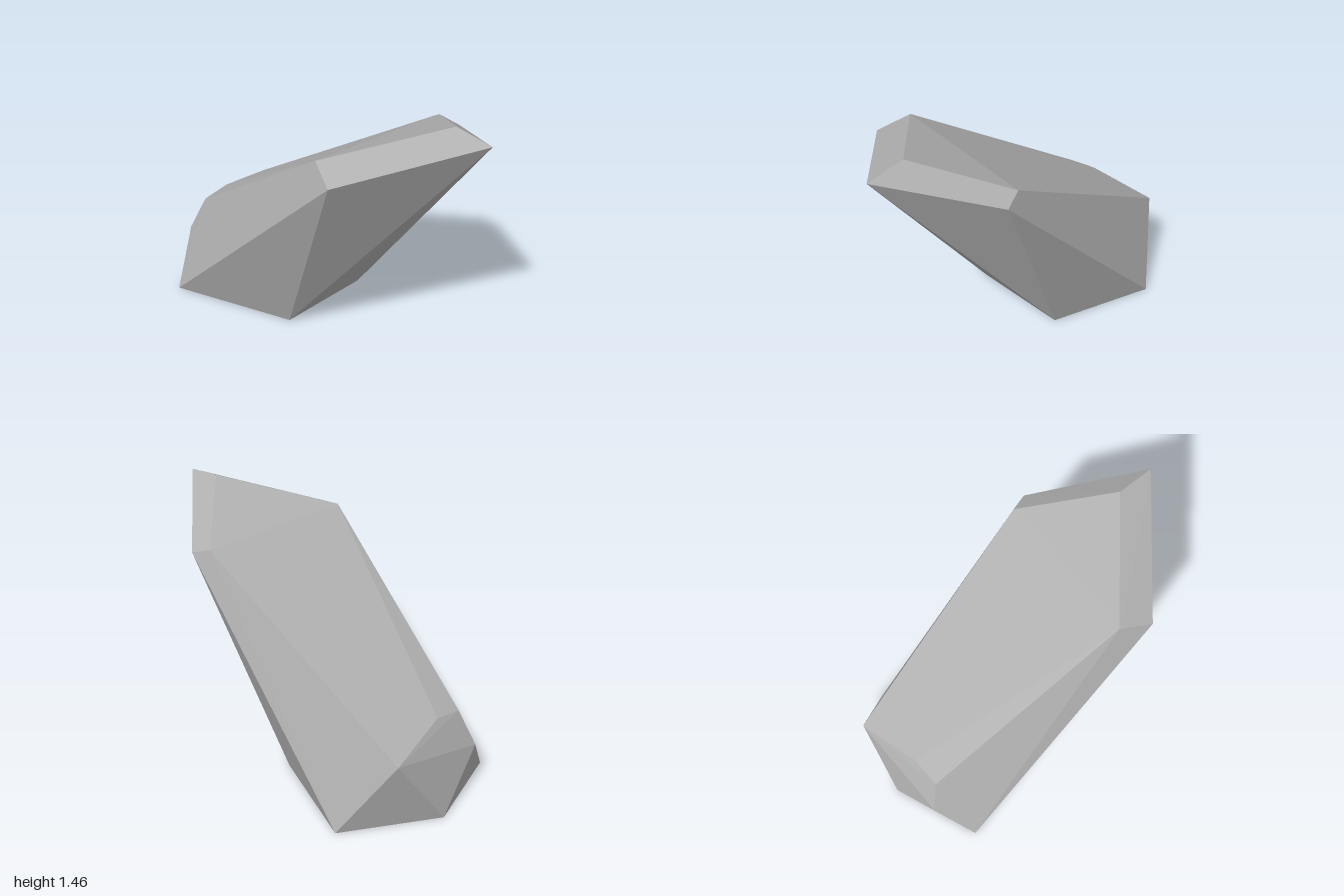
import * as THREE from 'three';
import { ConvexGeometry } from 'three/addons/geometries/ConvexGeometry.js';

export function createModel() {
  const model = new THREE.Group();
  model.name = 'leaningRock';
  const stone = new THREE.MeshStandardMaterial({ color: 0xb0b0b0 });
  stone.name = 'grey stone';

  // Five-sided footing on the ground
  const footing = [
    [-1, 0, 0], [-0.82, 0, 0.51], [-0.1, 0, 0.255], [-0.1, 0, -0.32], [-0.7, 0, -0.52],
  ];
  // Widest corners of the leaning shaft
  const shoulders = [
    [-0.935, 0.3, 0.3], [-0.935, 0.46, -0.31],
    [0.47, 1.215, 0.5], [0.995, 1.425, -0.09], [0.47, 1.215, -0.5],
  ];
  // Bevelled upper face
  const crown = [
    [-0.85, 0.51, 0.24], [-0.85, 0.54, 0.07],
    [0.3, 1.28, 0.42], [0.77, 1.456, -0.09], [0.36, 1.255, -0.46],
  ];

  // Flat facets span the three rings of corners
  const corners = [...footing, ...shoulders, ...crown].map((p) => new THREE.Vector3(...p));
  const rock = new THREE.Mesh(new ConvexGeometry(corners), stone);
  rock.name = 'rock';
  model.add(rock);
  return model;
}
